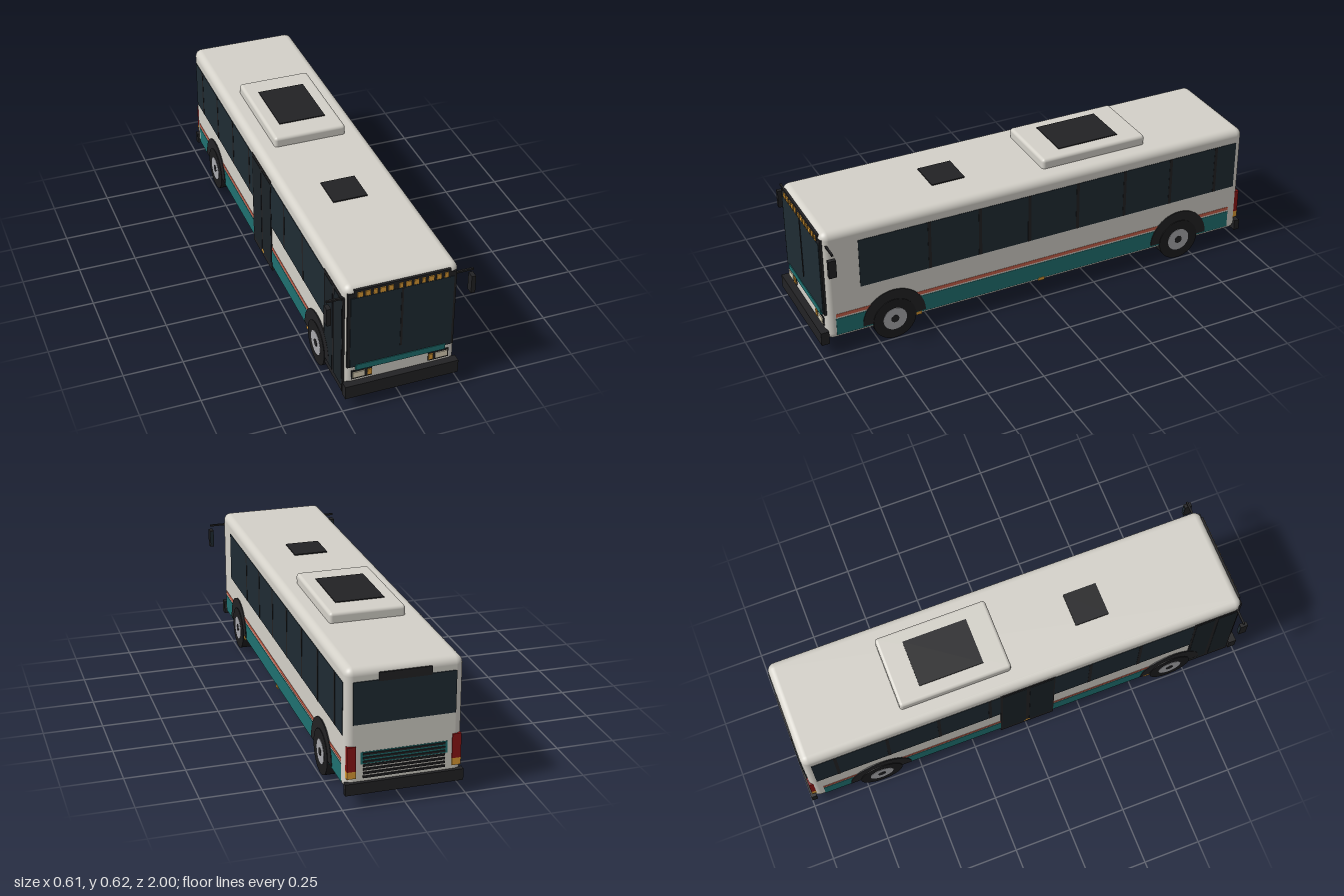
import * as THREE from 'three';
import { RoundedBoxGeometry } from 'three/addons/geometries/RoundedBoxGeometry.js';

const mat = (color) => new THREE.MeshStandardMaterial({ color });
const M = {
  body: mat(0xd3d0c8), dark: mat(0x222224), glass: mat(0x1f2b33), door: mat(0x1b2227),
  teal: mat(0x1f7070), coral: mat(0xc9614b), amber: mat(0xdd9c35), cream: mat(0xddd3b8),
  red: mat(0x8c1515), hub: mat(0xa8a8ac), tire: mat(0x1c1c1e),
};

export function createModel() {
  const bus = new THREE.Group();
  bus.name = 'bus';

  const add = (name, geometry, material, x = 0, y = 0, z = 0, parent = bus) => {
    const mesh = new THREE.Mesh(geometry, material);
    mesh.name = name;
    mesh.position.set(x, y, z);
    parent.add(mesh);
    return mesh;
  };
  // Box given by its limits on each axis
  const box = (name, m, x0, x1, y0, y1, z0, z1, parent = bus) =>
    add(name, new THREE.BoxGeometry(Math.abs(x1 - x0), y1 - y0, Math.abs(z1 - z0)), m,
      (x0 + x1) / 2, (y0 + y1) / 2, (z0 + z1) / 2, parent);
  const rounded = (name, m, x, y0, y1, z0, z1, r) =>
    add(name, new RoundedBoxGeometry(2 * x, y1 - y0, z1 - z0, 5, r), m, 0, (y0 + y1) / 2, (z0 + z1) / 2);

  // Shell and roof equipment
  rounded('body', M.body, 0.235, 0.065, 0.573, -0.985, 0.97, 0.032);
  rounded('roofUnit', M.body, 0.159, 0.56, 0.616, -0.531, -0.043, 0.014);
  box('roofUnitGrille', M.dark, -0.103, 0.103, 0.61, 0.62, -0.426, -0.146);
  box('roofHatch', M.dark, -0.074, 0.074, 0.565, 0.578, 0.277, 0.425);

  // Bumpers
  box('frontBumper', M.dark, -0.239, 0.239, 0.058, 0.117, 0.965, 1);
  box('rearBumper', M.dark, -0.239, 0.239, 0.058, 0.106, -1, -0.975);

  // Windshield and destination sign
  box('windshieldFrame', M.dark, -0.223, 0.223, 0.188, 0.545, 0.94, 0.973);
  box('signHousing', M.dark, -0.198, 0.198, 0.52, 0.56, 0.94, 0.974);
  box('windshield', M.glass, -0.212, 0.212, 0.19, 0.524, 0.95, 0.976);
  box('windshieldDivider', M.dark, -0.006, 0.003, 0.245, 0.524, 0.95, 0.978);
  box('frontBand', M.teal, -0.188, 0.188, 0.173, 0.199, 0.95, 0.979);
  const signLamps = [[-0.174, 0.022], [-0.143, 0.02], [-0.112, 0.016], [-0.082, 0.023], [-0.05, 0.02],
    [-0.008, 0.015], [0.023, 0.023], [0.055, 0.02], [0.085, 0.014], [0.116, 0.023], [0.148, 0.02], [0.179, 0.016]];
  for (const [x, w] of signLamps)
    box('signLamp', M.amber, x - w / 2, x + w / 2, 0.527, 0.549, 0.96, 0.978);

  // Parts repeated on both sides
  for (const s of [-1, 1]) {
    const side = new THREE.Group();
    side.name = s > 0 ? 'leftSide' : 'rightSide';
    bus.add(side);
    const sideBox = (name, m, y0, y1, z0, z1, out) =>
      box(name, m, s * 0.21, s * out, y0, y1, z0, z1, side);

    // Windows with pillars
    sideBox('sideWindows', M.glass, 0.292, 0.512, -0.952, 0.818, 0.237);
    for (let i = 0; i < 7; i++) {
      const z = 0.511 - i * 0.227;
      sideBox('windowPillar', M.dark, 0.292, 0.512, z - 0.007, z + 0.007, 0.238);
    }

    // Stripes and marker lamps
    sideBox('lowerStripe', M.teal, 0.088, 0.166, -0.935, 0.93, 0.2365);
    sideBox('upperStripe', M.coral, 0.174, 0.189, -0.935, 0.93, 0.2365);
    for (const z of [0, 0.57])
      sideBox('sideMarker', M.amber, 0.078, 0.092, z - 0.014, z + 0.014, 0.238);

    // Wheels under half-round arches
    for (const z of [-0.678, 0.678]) {
      const wheel = new THREE.Group();
      wheel.name = 'wheel';
      side.add(wheel);
      const disc = (name, r, inner, outer, y, m, half = false) => {
        const g = half
          ? new THREE.CylinderGeometry(r, r, outer - inner, 32, 1, false, 0, Math.PI)
          : new THREE.CylinderGeometry(r, r, outer - inner, 40);
        g.rotateZ(Math.PI / 2);
        add(name, g, m, s * (inner + outer) / 2, y, z, wheel);
      };
      disc('wheelArch', 0.139, 0.2, 0.2395, 0.096, M.dark, true);
      disc('tire', 0.0945, 0.178, 0.242, 0.0945, M.tire);
      disc('rim', 0.052, 0.23, 0.2435, 0.0945, M.hub);
      disc('hubCap', 0.017, 0.235, 0.245, 0.0945, M.dark);
    }

    // Mirror on its arm
    box('mirrorArm', M.dark, s * 0.21, s * 0.303, 0.514, 0.522, 0.946, 0.954, side);
    box('mirror', M.dark, s * 0.289, s * 0.307, 0.416, 0.495, 0.938, 0.97, side);
    box('mirrorGlass', M.glass, s * 0.291, s * 0.305, 0.422, 0.489, 0.937, 0.94, side);

    // Headlight cluster
    box('headlightBezel', M.dark, s * 0.119, s * 0.205, 0.128, 0.169, 0.94, 0.974, side);
    box('headlight', M.cream, s * 0.149, s * 0.2, 0.135, 0.162, 0.95, 0.978, side);
    box('turnSignal', M.amber, s * 0.12, s * 0.138, 0.135, 0.162, 0.95, 0.978, side);

    // Tail lights
    box('tailLight', M.red, s * 0.194, s * 0.23, 0.152, 0.255, -0.99, -0.95, side);
    box('rearSignal', M.amber, s * 0.194, s * 0.23, 0.122, 0.152, -0.99, -0.95, side);
  }

  // Passenger doors, two glazed leaves each
  for (const [name, z0, z1] of [['frontDoor', 0.755, 0.957], ['middleDoor', -0.123, 0.123]]) {
    const door = new THREE.Group();
    door.name = name;
    bus.add(door);
    box('doorFrame', M.dark, -0.2, -0.2375, 0.062, 0.52, z0, z1, door);
    const mid = (z0 + z1) / 2;
    for (const [a, b] of [[z0, mid], [mid, z1]])
      box('doorGlass', M.door, -0.21, -0.239, 0.09, 0.505, a + 0.01, b - 0.006, door);
  }

  // Rear window, sign and engine grille
  box('rearWindow', M.glass, -0.205, 0.205, 0.345, 0.52, -0.989, -0.95);
  box('rearSign', M.dark, -0.105, 0.105, 0.515, 0.55, -0.991, -0.95);
  box('rearBand', M.teal, -0.175, 0.175, 0.178, 0.228, -0.987, -0.95);
  for (let i = 0; i < 7; i++) {
    const y = 0.12 + i * 0.016;
    box('grilleSlat', M.dark, -0.165, 0.165, y, y + 0.008, -0.991, -0.95);
  }

  return bus;
}
